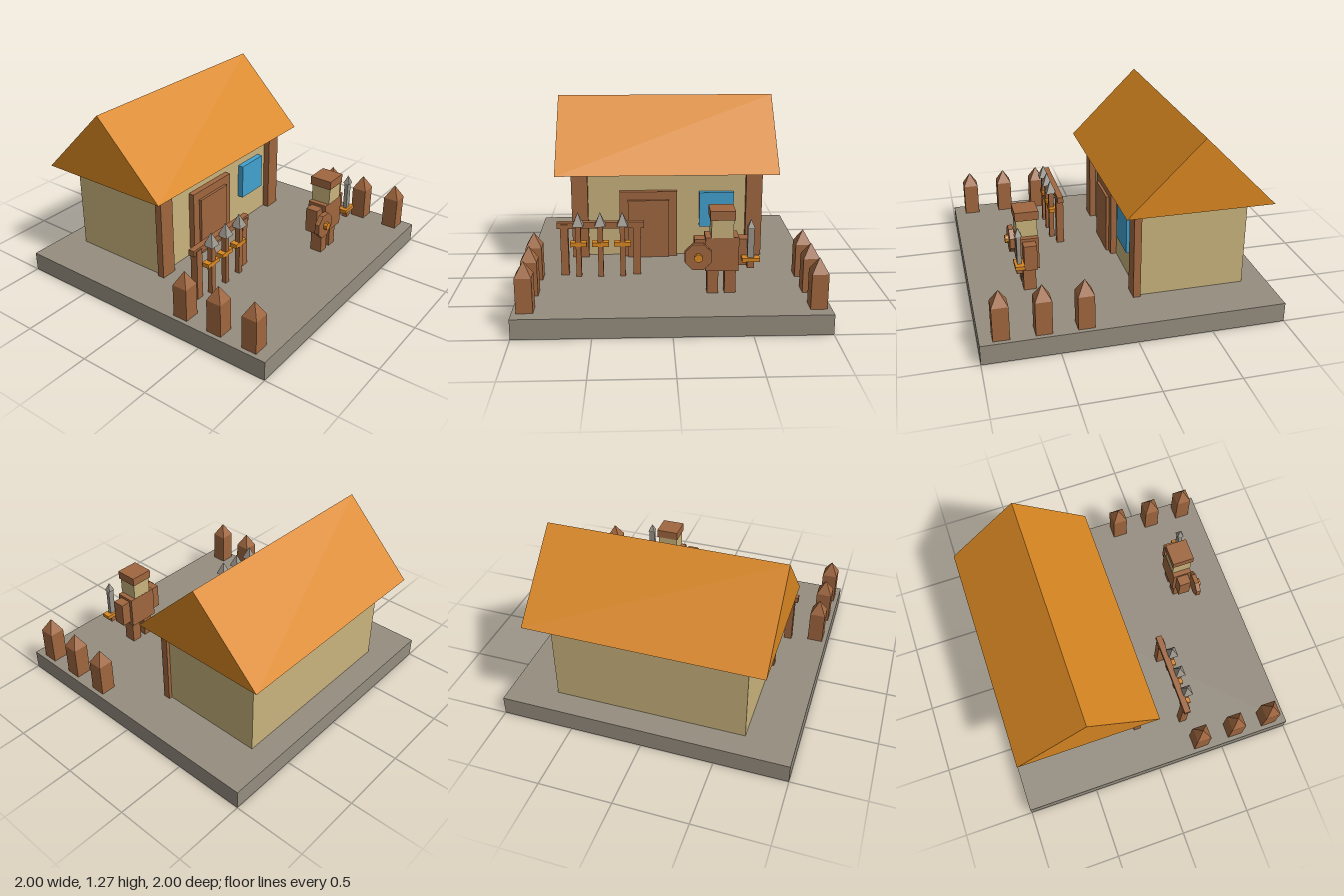
import * as THREE from 'three';

function paint(name, color, side) {
  const m = new THREE.MeshStandardMaterial({ color });
  m.name = name;
  if (side) m.side = side;
  return m;
}

export function createModel() {
  const stone = paint('stone', 0x958d7f, THREE.DoubleSide);
  const wood = paint('wood', 0xa0673f);
  const plaster = paint('plaster', 0xc9b37d);
  const orange = paint('orange', 0xd98722);
  const blue = paint('blue', 0x42a2cf);
  const metal = paint('metal', 0x9b958b);

  const model = new THREE.Group();
  model.name = 'guardHouse';

  function group(name, parent = model) {
    const g = new THREE.Group();
    g.name = name;
    parent.add(g);
    return g;
  }
  function add(parent, name, geometry, material) {
    const mesh = new THREE.Mesh(geometry, material);
    mesh.name = name;
    parent.add(mesh);
    return mesh;
  }
  // Box given by its extents on each axis
  function box(parent, name, material, [x0, x1], [y0, y1], [z0, z1]) {
    const g = new THREE.BoxGeometry(x1 - x0, y1 - y0, z1 - z0);
    g.translate((x0 + x1) / 2, (y0 + y1) / 2, (z0 + z1) / 2);
    return add(parent, name, g, material);
  }
  // Square pyramid with flat faces
  function pyramid(parent, name, material, width, x, z, y0, y1) {
    const cone = new THREE.ConeGeometry(width / Math.SQRT2, y1 - y0, 4);
    cone.rotateY(Math.PI / 4);
    const g = cone.toNonIndexed();
    g.computeVertexNormals();
    g.translate(x, (y0 + y1) / 2, z);
    return add(parent, name, g, material);
  }
  // Eight-sided disc facing the front
  function octagon(parent, name, material, radius, x, y, z0, z1) {
    const c = new THREE.CylinderGeometry(radius, radius, z1 - z0, 8);
    c.rotateY(Math.PI / 8);
    c.rotateX(Math.PI / 2);
    const g = c.toNonIndexed();
    g.computeVertexNormals();
    g.translate(x, y, (z0 + z1) / 2);
    return add(parent, name, g, material);
  }
  const around = (c, size) => [c - size / 2, c + size / 2];

  const GROUND = 0.135;

  // Hollow base slab, open underneath
  const base = box(model, 'base', stone, [-1, 1], [0, GROUND], [-1, 1]).geometry;
  base.setIndex(Array.from(base.index.array).filter((_, i) => i < 18 || i >= 24));
  base.clearGroups();

  // House
  const house = group('house');
  box(house, 'walls', plaster, [-0.667, 0.667], [GROUND, 0.77], [-0.83, -0.097]);
  for (const s of [-1, 1]) {
    box(house, 'pillar', wood, around(s * 0.632, 0.117), [GROUND, 0.77], [-0.1, -0.05]);
  }
  box(house, 'doorFrame', wood, [-0.345, 0.073], [GROUND, 0.628], [-0.1, -0.055]);
  box(house, 'door', wood, [-0.285, 0.013], [GROUND, 0.567], [-0.1, -0.035]);
  box(house, 'window', blue, [0.235, 0.485], [0.36, 0.617], [-0.1, -0.055]);

  // Gabled roof, a triangle swept along x
  const gable = new THREE.Shape([
    new THREE.Vector2(-0.497, 0),
    new THREE.Vector2(0.497, 0),
    new THREE.Vector2(0, 0.497),
  ]);
  const roof = new THREE.ExtrudeGeometry(gable, { depth: 1.6, bevelEnabled: false });
  roof.translate(0, 0, -0.8);
  roof.rotateY(Math.PI / 2);
  roof.translate(0, 0.77, -0.465);
  add(house, 'roof', roof, orange);

  // Pointed stakes along both sides
  const stakes = group('stakes');
  for (const x of [-0.917, 0.917]) {
    for (const z of [0.33, 0.597, 0.863]) {
      box(stakes, 'stake', wood, around(x, 0.107), [GROUND, 0.367], around(z, 0.107));
      pyramid(stakes, 'stakePoint', wood, 0.107, x, z, 0.367, 0.463);
    }
  }

  // Weapon rack with three spears
  const rack = group('weaponRack');
  box(rack, 'rackBeam', wood, [-0.768, -0.17], [0.47, 0.513], [0.244, 0.287]);
  for (const x of [-0.718, -0.22]) {
    box(rack, 'rackPost', wood, around(x, 0.053), [GROUND, 0.5], around(0.267, 0.053));
  }
  for (const x of [-0.62, -0.469, -0.318]) {
    const spear = group('spear', rack);
    box(spear, 'spearShaft', wood, around(x, 0.036), [GROUND, 0.5], around(0.312, 0.036));
    box(spear, 'spearGuard', orange, around(x, 0.114), [0.353, 0.383], around(0.307, 0.053));
    pyramid(spear, 'spearTip', metal, 0.075, x, 0.312, 0.5, 0.595);
  }

  // Guard figure
  const guard = group('guard');
  const gx = 0.33;
  for (const s of [-1, 1]) {
    box(guard, 'leg', wood, around(gx + s * 0.057, 0.073), [GROUND, 0.3], around(0.597, 0.085));
    box(guard, 'arm', wood, around(gx + s * 0.142, 0.072), [0.33, 0.507], around(0.597, 0.087));
  }
  box(guard, 'body', wood, around(gx, 0.216), [0.3, 0.527], [0.53, 0.667]);
  box(guard, 'head', plaster, around(gx, 0.143), [0.527, 0.65], [0.532, 0.672]);
  box(guard, 'hat', wood, around(gx, 0.162), [0.647, 0.708], [0.522, 0.68]);

  // Shield in the right hand
  const shield = group('shield', guard);
  octagon(shield, 'shieldDisc', wood, 0.093, 0.173, 0.408, 0.667, 0.7);
  octagon(shield, 'shieldBoss', orange, 0.028, 0.173, 0.408, 0.7, 0.725);

  // Sword in the left hand
  const sword = group('sword', guard);
  box(sword, 'swordGrip', wood, around(0.51, 0.045), [0.33, 0.376], around(0.676, 0.04));
  box(sword, 'swordGuard', orange, around(0.512, 0.115), [0.374, 0.4], around(0.676, 0.062));
  box(sword, 'swordBlade', metal, around(0.51, 0.042), [0.4, 0.597], around(0.676, 0.027));
  pyramid(sword, 'swordTip', metal, 0.048, 0.51, 0.676, 0.597, 0.655);

  return model;
}
